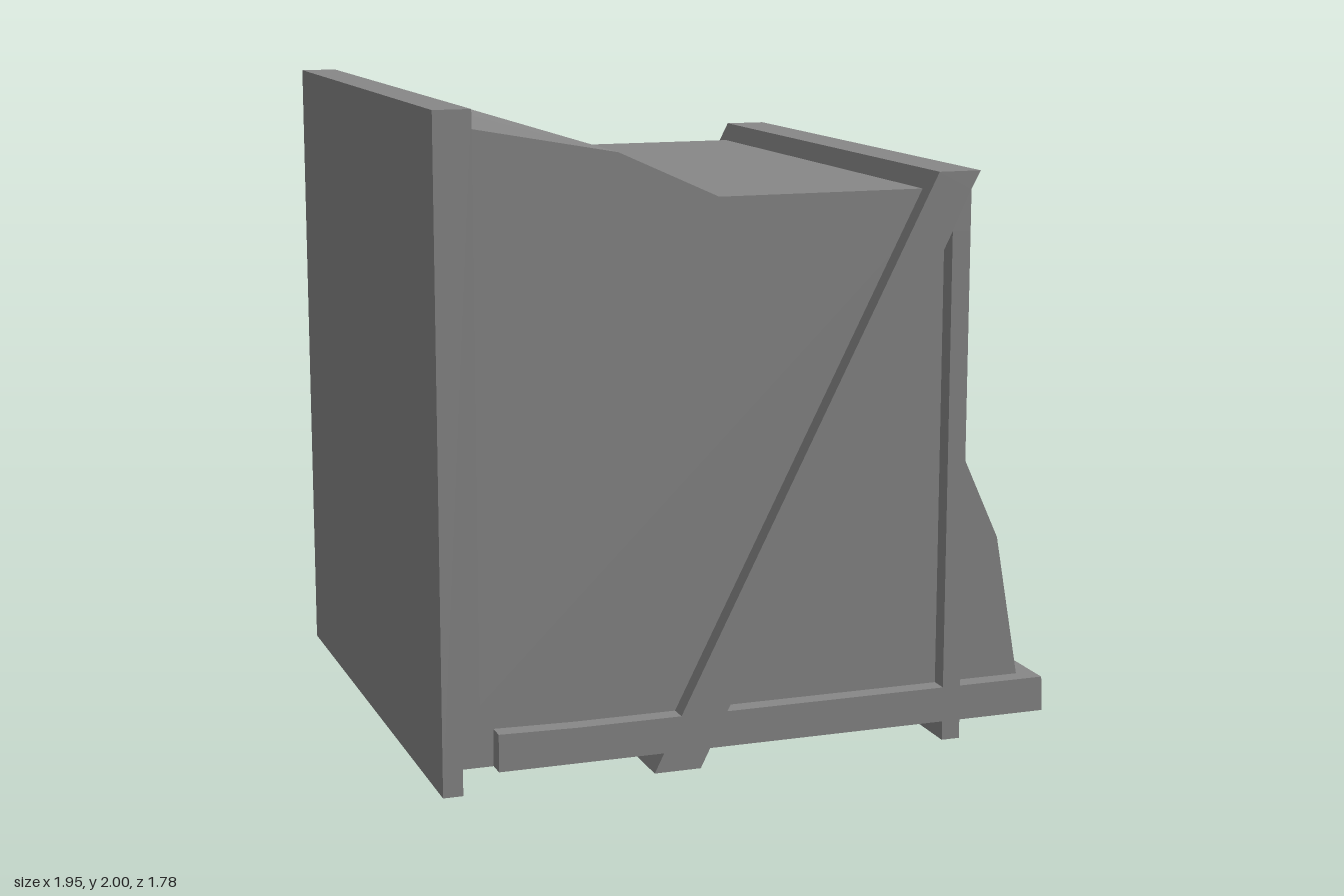
import * as THREE from 'three';
import { toCreasedNormals } from 'three/addons/utils/BufferGeometryUtils.js';

const FRAME_HALF = 0.888; // half depth of the frame timbers
const LOAD_HALF = 0.83;   // half depth of the enclosed load

export function createModel() {
  const group = new THREE.Group();
  const material = new THREE.MeshStandardMaterial({ color: 0x878787 });

  // Side profile (counter-clockwise x, y points) swept across the depth
  function addProfile(name, points, half) {
    const shape = new THREE.Shape(points.map(([x, y]) => new THREE.Vector2(x, y)));
    const geometry = new THREE.ExtrudeGeometry(shape, { depth: half * 2, bevelEnabled: false });
    geometry.translate(0, 0, -half);
    const mesh = new THREE.Mesh(toCreasedNormals(geometry, 0.35), material);
    mesh.name = name;
    group.add(mesh);
  }

  // Tall end wall with a rebate at its foot
  addProfile('endWall', [
    [-0.973, 0], [-0.912, 0], [-0.912, 0.23], [-0.86, 0.23], [-0.86, 2], [-0.973, 2],
  ], FRAME_HALF);

  // Floor slab
  addProfile('floorSlab', [
    [-0.803, 0.06], [0.973, 0.06], [0.968, 0.17], [-0.56, 0.17], [-0.803, 0.175],
  ], FRAME_HALF);

  // Sloping brace, running from the foot to the overhanging cap
  addProfile('diagonalBrace', [
    [-0.32, 0], [-0.173, 0], [-0.088, 0.17], [0.627, 1.595], [0.686, 1.595],
    [0.686, 1.72], [0.715, 1.775], [0.58, 1.775], [-0.235, 0.17],
  ], FRAME_HALF);

  // Upright wall at the low end
  addProfile('uprightWall', [
    [0.627, 0], [0.686, 0], [0.686, 1.595], [0.627, 1.595],
  ], FRAME_HALF);

  // Main load with a sloping top
  addProfile('mainLoad', [
    [-0.912, 0.06], [0.65, 0.06], [0.65, 1.72], [-0.1, 1.72],
    [-0.41, 1.86], [-0.862, 1.942], [-0.862, 0.23], [-0.912, 0.23],
  ], LOAD_HALF);

  // Bulging load on the outer ledge
  addProfile('ledgeLoad', [
    [0.686, 0.165], [0.91, 0.165], [0.83, 0.62], [0.686, 0.935],
  ], LOAD_HALF);

  return group;
}
